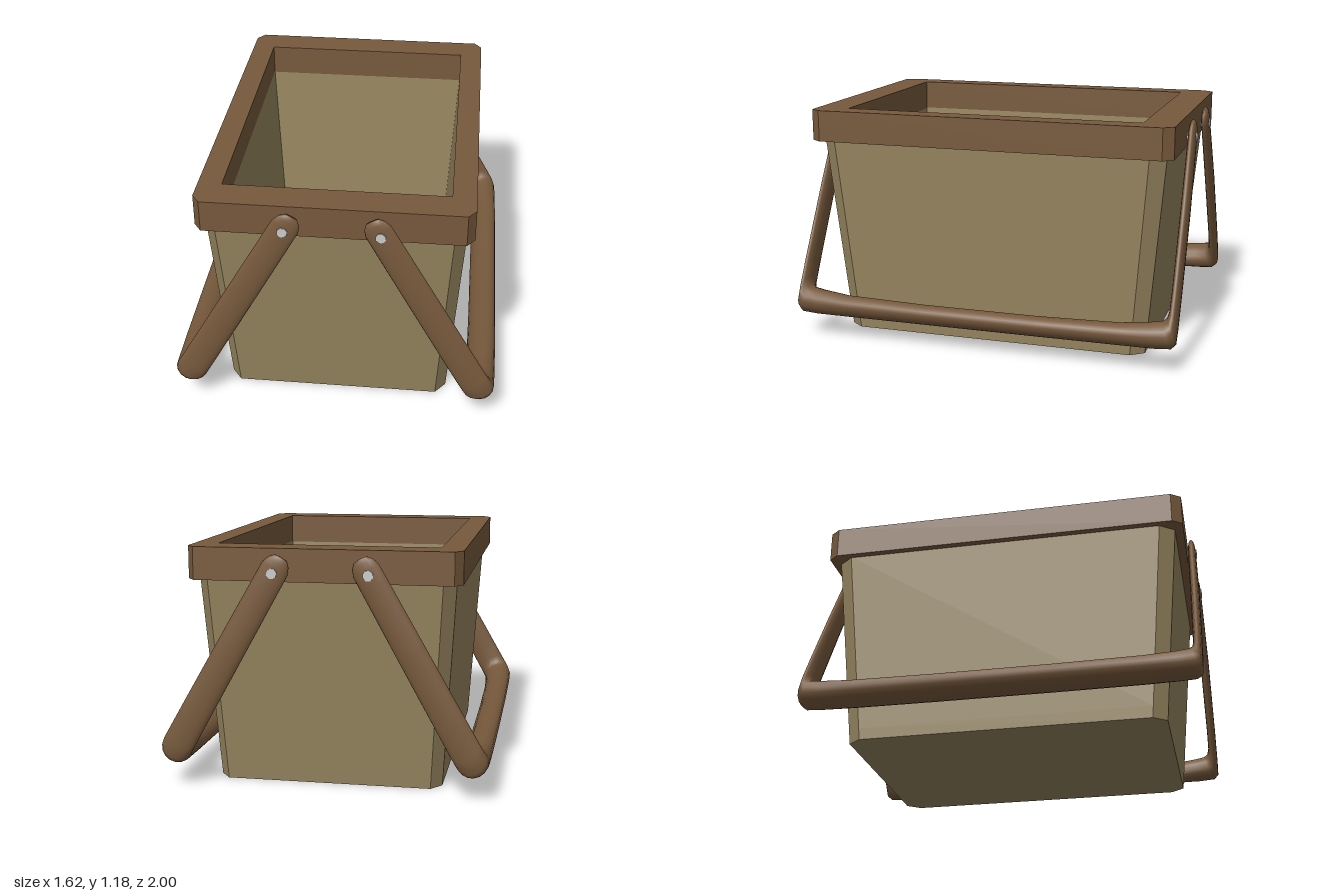
import * as THREE from 'three';

const wood = new THREE.MeshStandardMaterial({ color: 0x77593c });
const panel = new THREE.MeshStandardMaterial({ color: 0x96855f });
const metal = new THREE.MeshStandardMaterial({ color: 0xcccccc });

function mesh(name, geometry, material) {
  const m = new THREE.Mesh(geometry, material);
  m.name = name;
  return m;
}

// Rectangle with corners cut by cx, cz (half sizes hx, hz)
function outline(hx, hz, cx, cz) {
  return [
    [hx, -hz + cz], [hx, hz - cz], [hx - cx, hz], [-hx + cx, hz],
    [-hx, hz - cz], [-hx, -hz + cz], [-hx + cx, -hz], [hx - cx, -hz],
  ].map(([x, y]) => new THREE.Vector2(x, y));
}

// Upright slab or frame from y0 to y1; taper widens it per unit of height
function frame(outer, hole, y0, y1, taper = 0) {
  const shape = new THREE.Shape(outer);
  if (hole) {
    const [x, z] = hole;
    shape.holes.push(new THREE.Path([[-x, -z], [-x, z], [x, z], [x, -z]].map(p => new THREE.Vector2(...p))));
  }
  const g = new THREE.ExtrudeGeometry(shape, { depth: y1 - y0, bevelEnabled: false });
  g.rotateX(-Math.PI / 2).translate(0, y0, 0);
  const p = g.attributes.position;
  for (let i = 0; i < p.count; i++) {
    const s = 1 + taper * p.getY(i);
    p.setX(i, p.getX(i) * s);
    p.setZ(i, p.getZ(i) * s);
  }
  g.computeVertexNormals();
  return g;
}

// U-shaped handle: oval rings, each spanning an inner and an outer point
function handleGeometry() {
  // inner z, inner y, outer z, outer y, half width (pivot at y = 0)
  const half = [
    [0.966, 0.087, 0.966, 0.087, 0],
    [0.954, 0.083, 0.977, 0.083, 0.034],
    [0.947, 0.06, 0.984, 0.06, 0.056],
    [0.945, 0.025, 0.987, 0.025, 0.069],
    [0.946, -0.05, 0.989, -0.05, 0.07],
    [0.950, -0.4, 0.997, -0.4, 0.073],
    [0.954, -0.8, 1.0, -0.8, 0.076],
    [0.953, -0.9, 1.0, -0.98, 0.077],
    [0.945, -0.932, 0.998, -1.055, 0.078],
    [0.925, -0.947, 0.975, -1.08, 0.078],
    [0.87, -0.957, 0.89, -1.086, 0.077],
    [0.72, -0.975, 0.72, -1.086, 0.077],
    [0.3, -0.985, 0.3, -1.086, 0.077],
  ];
  const back = half.map(([a, b, c, d, w]) => [-a, b, -c, d, w]).reverse();
  const rings = [...half, ...back];
  const n = 16, pos = [], idx = [];
  rings.forEach(([zi, yi, zo, yo, w], i) => {
    for (let j = 0; j < n; j++) {
      const a = (j / n) * Math.PI * 2, c = Math.cos(a) / 2;
      pos.push(Math.sin(a) * w, (yi + yo) / 2 + c * (yo - yi), (zi + zo) / 2 + c * (zo - zi));
      if (i === rings.length - 1) continue;
      const p = i * n + j, q = i * n + (j + 1) % n;
      idx.push(p, p + n, q, q, p + n, q + n);
    }
  });
  const g = new THREE.BufferGeometry();
  g.setAttribute('position', new THREE.Float32BufferAttribute(pos, 3));
  g.setIndex(idx);
  g.computeVertexNormals();
  return g;
}

export function createModel() {
  const model = new THREE.Group();
  model.name = 'basket';

  // Tapered box with cut corners
  const base = outline(0.563, 0.805, 0.052, 0.068);
  const taper = 0.115;
  model.add(mesh('floor', frame(base, null, 0, 0.06, taper), panel));
  model.add(mesh('walls', frame(base, [0.49, 0.695], 0.06, 1.03, taper), panel));

  // Rim around the top
  model.add(mesh('rim', frame(outline(0.665, 0.943, 0.038, 0.052), [0.548, 0.775], 1.025, 1.185), wood));

  // Two swinging handles with a pin at each end
  const handleGeo = handleGeometry();
  const pinGeo = new THREE.CylinderGeometry(0.026, 0.026, 0.06, 8).rotateX(Math.PI / 2);
  for (const side of [1, -1]) {
    const handle = new THREE.Group();
    handle.name = side > 0 ? 'leftHandle' : 'rightHandle';
    handle.position.set(side * 0.23, 1.07, 0);
    handle.rotation.z = side * 0.515;
    handle.add(mesh('handleBar', handleGeo, wood));
    for (const end of [1, -1]) {
      const pin = mesh(end > 0 ? 'frontPin' : 'backPin', pinGeo, metal);
      pin.position.z = end * 0.962;
      handle.add(pin);
    }
    model.add(handle);
  }
  return model;
}
